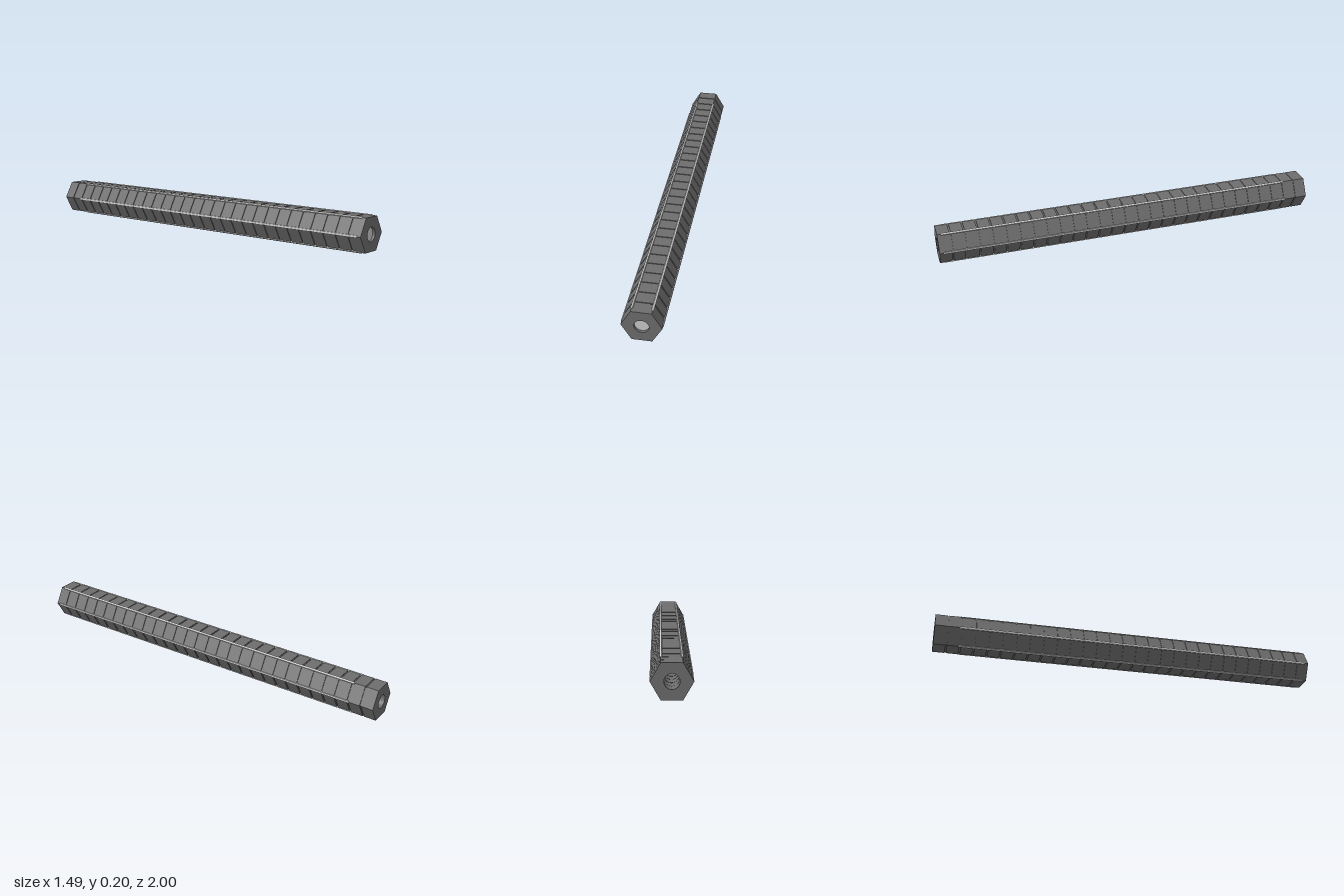
import * as THREE from 'three';

const DARK = 0x6e6e6e;
const HALF = 1.144; // half the bar's length
const CORNER = 0.1097; // hexagon centre to corner
const BORE = 0.04;

const material = (color) => new THREE.MeshStandardMaterial({ color });

// Hexagonal prism along z with a round bore, centred on the origin
function hexPrism(corner, bore, length) {
  const shape = new THREE.Shape();
  for (let i = 0; i < 6; i++) {
    const a = (i * Math.PI) / 3;
    shape[i ? 'lineTo' : 'moveTo'](corner * Math.cos(a), corner * Math.sin(a));
  }
  shape.closePath();
  const hole = new THREE.Path();
  hole.absarc(0, 0, bore, 0, Math.PI * 2, true);
  shape.holes.push(hole);
  return new THREE.ExtrudeGeometry(shape, { depth: length, bevelEnabled: false, curveSegments: 16 })
    .translate(0, 0, -length / 2);
}

export function createModel() {
  const model = new THREE.Group();
  model.name = 'hexagonalBar';
  const add = (name, geometry, mat) => {
    const mesh = new THREE.Mesh(geometry, mat);
    mesh.name = name;
    model.add(mesh);
    return mesh;
  };
  const dark = material(DARK);
  const light = material(0xcccccc);

  // Inner core, seen at the bottom of the grooves
  add('core', hexPrism(CORNER - 0.005, BORE + 0.001, HALF * 2 - 0.02), dark);

  // Row of segments separated by narrow grooves
  const count = 29, groove = 0.008;
  const length = (HALF * 2 - groove * (count - 1)) / count;
  const segment = hexPrism(CORNER, BORE, length);
  for (let i = 0; i < count; i++) {
    add('segment', segment, dark).position.z = -HALF + length / 2 + i * (length + groove);
  }

  // Light strips along the six long edges
  const stripGeometry = new THREE.BoxGeometry(0.012, 0.012, 2.12);
  for (let i = 0; i < 6; i++) {
    const a = (i * Math.PI) / 3;
    const strip = add('edgeStrip', stripGeometry, light);
    strip.position.set(0.105 * Math.cos(a), 0.105 * Math.sin(a), 0.06);
    strip.rotation.z = a;
  }

  // Plug just inside the front of the bore
  const plug = new THREE.CylinderGeometry(BORE, BORE, 0.02, 32).rotateX(Math.PI / 2);
  add('borePlug', plug, light).position.z = HALF - 0.025;

  model.position.y = 0.1;
  model.rotation.y = THREE.MathUtils.degToRad(35);
  const root = new THREE.Group();
  root.add(model);
  return root;
}
